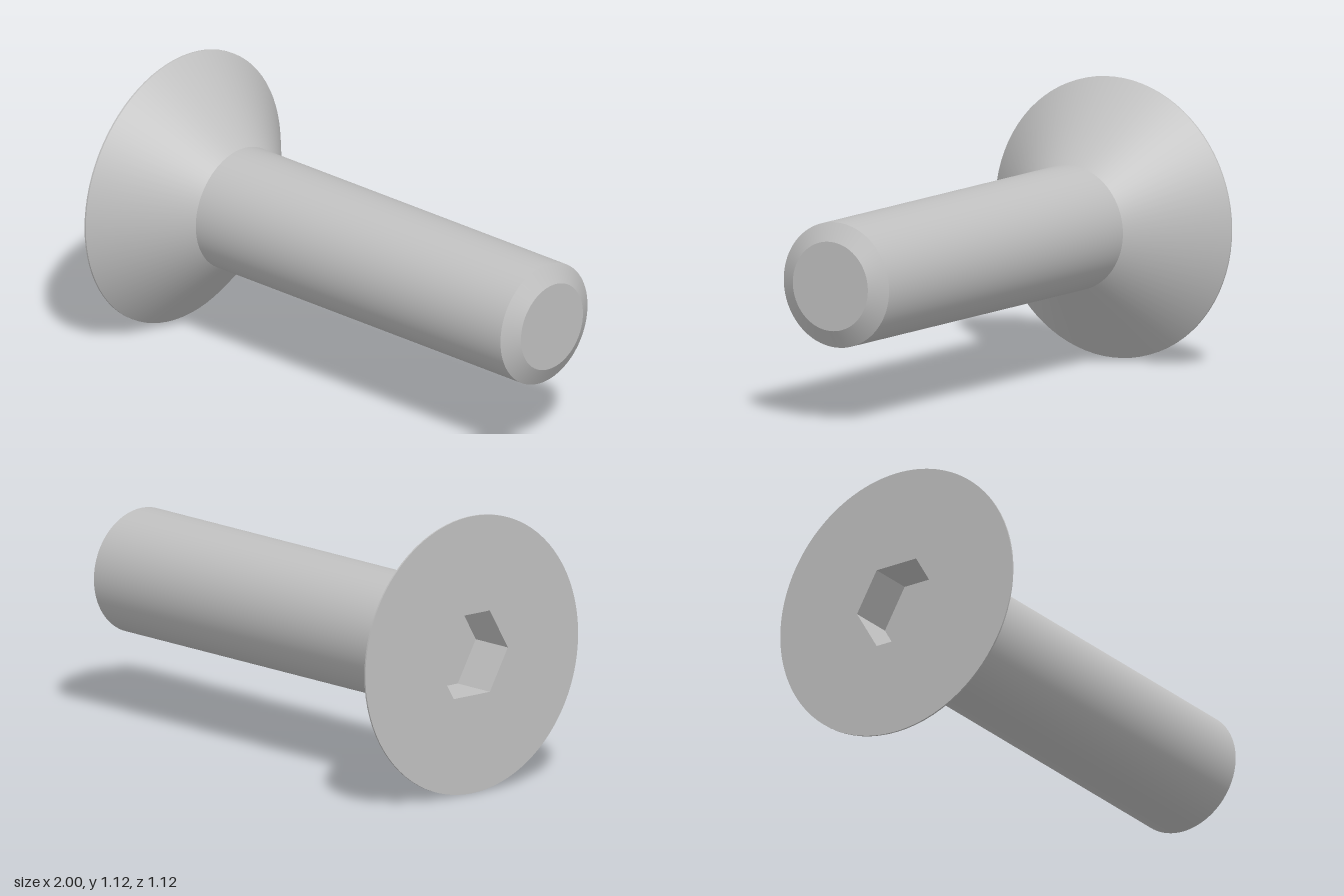
import * as THREE from 'three';
import { toCreasedNormals } from 'three/addons/utils/BufferGeometryUtils.js';

const HEAD_R = 0.56, SHANK_R = 0.25, SOCKET_R = 0.19;
const SEGMENTS = 80;

// Revolve [radius, x] pairs around the x axis, keeping profile corners sharp.
function revolve(profile, segments) {
  const points = profile.map(([r, x]) => new THREE.Vector2(r, x));
  const geometry = new THREE.LatheGeometry(points, segments).rotateZ(-Math.PI / 2);
  return toCreasedNormals(geometry, 0.4);
}

export function createModel() {
  const steel = new THREE.MeshStandardMaterial({ color: 0xc0c0c0 });
  steel.name = 'steel grey';

  const screw = new THREE.Group();
  screw.name = 'countersunkScrew';
  const add = (name, geometry) => {
    const mesh = new THREE.Mesh(geometry, steel);
    mesh.name = name;
    mesh.position.y = HEAD_R;
    screw.add(mesh);
  };

  // Countersunk cone with a thin cylindrical rim
  add('head', revolve([[HEAD_R, -1], [HEAD_R, -0.993], [SHANK_R, -0.69]], SEGMENTS));

  // Plain shank with a chamfered, flat tip
  add('shank', revolve([[SHANK_R, -0.69], [SHANK_R, 0.957]], SEGMENTS));
  add('tipChamfer', revolve([[SHANK_R, 0.957], [0.178, 1]], SEGMENTS));
  add('tip', new THREE.CircleGeometry(0.178, SEGMENTS).rotateY(Math.PI / 2).translate(1, 0, 0));

  // Flat drive face with a hexagonal opening
  const face = new THREE.Shape().absarc(0, 0, HEAD_R, 0, Math.PI * 2);
  const hexagon = Array.from({ length: 6 }, (_, i) => new THREE.Vector2(
    SOCKET_R * Math.cos(i * Math.PI / 3), SOCKET_R * Math.sin(i * Math.PI / 3)));
  face.holes.push(new THREE.Path(hexagon));
  add('driveFace', new THREE.ShapeGeometry(face, SEGMENTS).rotateY(-Math.PI / 2).translate(-1, 0, 0));

  // Recessed hexagonal socket: inward walls and a flat floor
  add('hexSocket', revolve([[SOCKET_R, -0.81], [SOCKET_R, -1]], 6));
  add('socketFloor', new THREE.CircleGeometry(SOCKET_R, 6).rotateY(-Math.PI / 2).translate(-0.81, 0, 0));

  return screw;
}
